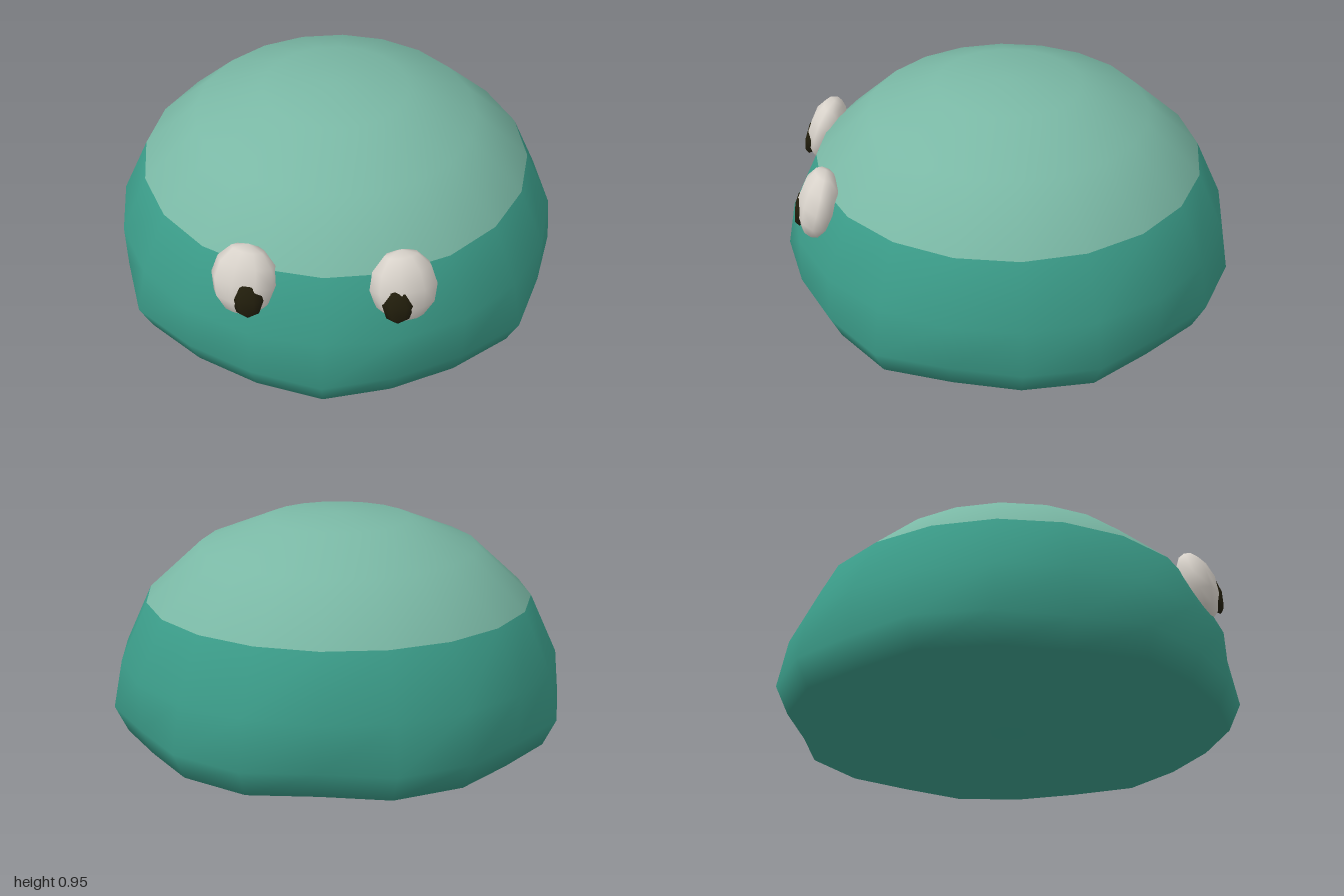
import * as THREE from 'three';

const material = (name, color) => {
  const m = new THREE.MeshStandardMaterial({ color });
  m.name = name;
  return m;
};

// Dome made of rings around the y axis, closed at top and bottom
function domeGeometry() {
  const sides = 20, cz = -0.02;
  const rings = [[0.32, 0.93], [0.62, 0.81], [0.86, 0.59], [0.98, 0.33], [1, 0.12], [0.94, 0]];
  // Uneven lower belly, half outline from back to front (x, z)
  const belly = [[0, -0.98], [0.31, -0.99], [0.6, -0.84], [0.79, -0.6], [0.97, -0.34], [1, -0.02],
    [0.93, 0.28], [0.83, 0.58], [0.58, 0.78], [0.3, 0.92], [0, 1]];
  const pos = [0, 0.95, cz];
  rings.forEach(([r, y], ring) => {
    for (let k = 0; k < sides; k++) {
      const a = (k / sides) * Math.PI * 2;
      let x = Math.sin(a) * r, z = cz - Math.cos(a) * r;
      if (ring >= 4) {
        const p = belly[k <= 10 ? k : sides - k];
        const s = ring === 4 ? 1 : 0.945;
        x = (k <= 10 ? p[0] : -p[0]) * s;
        z = p[1] * s;
      }
      pos.push(x, y, z);
    }
  });
  pos.push(0, 0, cz);
  const last = pos.length / 3 - 1;
  const at = (ring, k) => 1 + ring * sides + (k % sides);
  const index = [];
  for (let k = 0; k < sides; k++) index.push(0, at(0, k + 1), at(0, k));
  let split = 0;
  for (let ring = 0; ring < rings.length - 1; ring++) {
    if (ring === 2) split = index.length;
    for (let k = 0; k < sides; k++) {
      const a = at(ring, k), b = at(ring, k + 1), c = at(ring + 1, k), d = at(ring + 1, k + 1);
      index.push(a, b, d, a, d, c);
    }
  }
  for (let k = 0; k < sides; k++) index.push(last, at(5, k), at(5, k + 1));
  const g = new THREE.BufferGeometry();
  g.setAttribute('position', new THREE.Float32BufferAttribute(pos, 3));
  g.setIndex(index);
  g.addGroup(0, split, 0);
  g.addGroup(split, index.length - split, 1);
  g.computeVertexNormals();
  return g;
}

export function createModel() {
  const capGreen = material('light green', 0x7ab8a5);
  const bodyTeal = material('teal', 0x3a9a87);
  const eyeWhite = material('eye white', 0xd8d2ca);
  const pupilDark = material('pupil dark', 0x221e0c);

  const model = new THREE.Group();
  model.name = 'domeCreature';

  // Body: pale cap over a teal belly
  const body = new THREE.Mesh(domeGeometry(), [capGreen, bodyTeal]);
  body.name = 'body';
  model.add(body);

  // Eyes lean back along the dome, pupils sit low and inward
  for (const [side, s] of [['left', 1], ['right', -1]]) {
    const eye = new THREE.Mesh(new THREE.SphereGeometry(1, 9, 6), eyeWhite);
    eye.name = side + 'Eye';
    eye.scale.set(0.14, 0.158, 0.085);
    eye.position.set(s * 0.32, 0.545, 0.813);
    eye.rotation.set(-0.3, s * 0.2, s * 0.12);
    const pupil = new THREE.Mesh(new THREE.SphereGeometry(1, 6, 4), pupilDark);
    pupil.name = side + 'Pupil';
    pupil.scale.set(0.065, 0.086, 0.03);
    pupil.position.set(s * 0.3, 0.505, 0.89);
    pupil.rotation.set(-0.2, s * 0.05, 0);
    model.add(eye, pupil);
  }
  return model;
}
